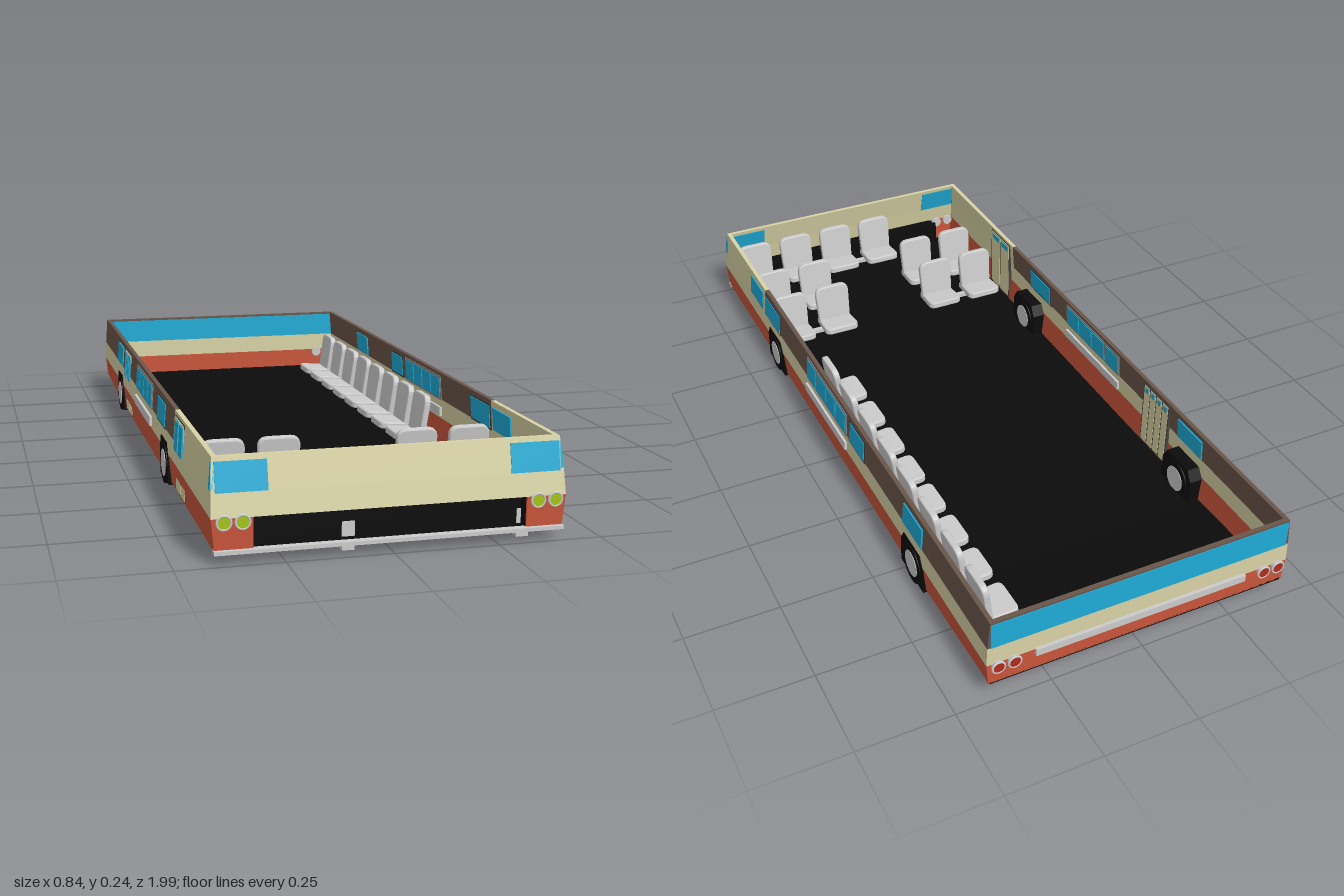
import * as THREE from 'three';

const CREAM = 0xd8d3a5, RED = 0xc9553a, BROWN = 0x6b564a, BLUE = 0x1fabd6;
const BLACK = 0x0b0b0b, GREY = 0xcccccc, DARK = 0x4a4340, LIME = 0xa5c41a, LAMP = 0xb02a20;
const TOP = 0.238, FLOOR = 0.03, BELT = 0.105, SILL = 0.16;

const mats = {};
const mat = (c) => (mats[c] ??= new THREE.MeshStandardMaterial({ color: c }));

// Piecewise linear body profiles over height
function lerpProfile(pts, y) {
  if (y <= pts[0][0]) return pts[0][1];
  for (let i = 1; i < pts.length; i++) {
    const [y0, v0] = pts[i - 1], [y1, v1] = pts[i];
    if (y <= y1) return v0 + ((v1 - v0) * (y - y0)) / (y1 - y0);
  }
  return pts[pts.length - 1][1];
}
const sideX = (y) => lerpProfile([[FLOOR, 0.408], [BELT, 0.415], [SILL, 0.413], [TOP, 0.407]], y);
const frontZ = (y) => lerpProfile([[FLOOR, 0.984], [BELT, 0.986], [SILL, 0.975], [TOP, 0.957]], y);
const REAR = -0.985;

export function createModel() {
  const bus = new THREE.Group();
  bus.name = 'bus';

  function add(name, geo, color, x = 0, y = 0, z = 0, parent = bus) {
    const m = new THREE.Mesh(geo, mat(color));
    m.name = name;
    m.position.set(x, y, z);
    parent.add(m);
    return m;
  }
  const box = (name, color, w, h, d, x, y, z, parent) =>
    add(name, new THREE.BoxGeometry(w, h, d), color, x, y, z, parent);

  function reshape(geo, rule) {
    const p = geo.attributes.position, v = new THREE.Vector3();
    for (let i = 0; i < p.count; i++) {
      rule(v.fromBufferAttribute(p, i));
      p.setXYZ(i, v.x, v.y, v.z);
    }
    geo.computeVertexNormals();
    return geo;
  }

  // Panel that follows the side wall; s = +1 or -1, t = thickness
  function sidePanel(name, color, s, z0, z1, y0, y1, t = 0.012) {
    const g = new THREE.BoxGeometry(t, y1 - y0, z1 - z0);
    g.translate(0, (y0 + y1) / 2, (z0 + z1) / 2);
    add(name, reshape(g, (v) => {
      v.x += s * (sideX(v.y) - 0.006);
      if (v.z > 0.95) v.z = Math.min(v.z, frontZ(v.y));
      if (v.z < -0.9 && v.y < 0.035) v.y += 0.015;
    }), color);
  }
  // Panel that follows the front (s = 1) or rear (s = -1) wall
  function endPanel(name, color, s, x0, x1, y0, y1, t = 0.012) {
    const g = new THREE.BoxGeometry(x1 - x0, y1 - y0, t);
    g.translate((x0 + x1) / 2, (y0 + y1) / 2, 0);
    add(name, reshape(g, (v) => {
      v.z += s > 0 ? frontZ(v.y) - 0.006 : REAR + 0.006;
      const lim = sideX(v.y);
      v.x = THREE.MathUtils.clamp(v.x, -lim, lim);
    }), color);
  }

  // Floor, tilted up behind the rear wheels
  box('floor', BLACK, 0.812, 0.006, 1.6, 0, FLOOR, 0.17);
  const tail = new THREE.BoxGeometry(0.812, 0.006, 0.355);
  tail.translate(0, FLOOR, -0.8075);
  add('rearFloor', reshape(tail, (v) => { if (v.z < -0.9) v.y += 0.015; }), BLACK);

  // Side walls in coloured bands
  for (const s of [1, -1]) {
    const split = s > 0 ? 0.57 : 0.48;
    sidePanel('lowerSide', RED, s, -0.63, 1, FLOOR, BELT);
    sidePanel('lowerRearSide', RED, s, REAR, -0.63, FLOOR, BELT);
    sidePanel('middleSide', CREAM, s, REAR, 1, BELT, SILL);
    sidePanel('upperSide', BROWN, s, REAR, split, SILL, TOP);
    sidePanel('upperFrontSide', CREAM, s, split, 1, SILL, TOP);
    sidePanel('cornerWindow', BLUE, s, 0.953, 1, 0.165, 0.226, 0.015);
  }

  // Front wall
  endPanel('frontMiddle', CREAM, 1, -1, 1, BELT, SILL);
  endPanel('frontUpper', CREAM, 1, -1, 1, SILL, TOP);
  box('grille', BLACK, 0.66, 0.08, 0.01, 0, 0.069, 0.945);
  box('bumper', GREY, 0.82, 0.009, 0.02, 0, 0.029, 0.985);
  for (const s of [1, -1]) {
    endPanel('frontCorner', RED, 1, s > 0 ? 0.32 : -1, s > 0 ? 1 : -0.32, FLOOR, BELT);
    endPanel('frontWindow', BLUE, 1, s > 0 ? 0.284 : -0.403, s > 0 ? 0.403 : -0.284, SILL, 0.227, 0.016);
    box('grilleCheek', BLACK, 0.004, 0.072, 0.04, s * 0.322, 0.069, 0.96);
  }
  box('grilleLip', BLACK, 0.64, 0.004, 0.04, 0, BELT, 0.96);

  // Rear wall
  endPanel('rearLower', RED, -1, -1, 1, 0.045, BELT);
  endPanel('rearMiddle', CREAM, -1, -1, 1, BELT, SILL);
  endPanel('rearUpper', BROWN, -1, -1, 1, SILL, TOP);
  endPanel('rearWindow', BLUE, -1, -0.405, 0.405, SILL, 0.232, 0.016);
  box('rearBar', GREY, 0.58, 0.02, 0.012, 0, 0.1, -0.988);

  // Paired lamps at each corner
  for (const [z, dir, lens] of [[0.984, 1, LIME], [REAR, -1, LAMP]])
    for (const x of [-0.387, -0.345, 0.345, 0.387]) {
      const lamp = new THREE.Group();
      lamp.name = dir > 0 ? 'headlamp' : 'tailLamp';
      lamp.position.set(x, 0.097, z);
      bus.add(lamp);
      const body = add('lampBody', new THREE.CylinderGeometry(0.016, 0.016, 0.026, 20), GREY, 0, 0, -dir * 0.006, lamp);
      const glass = add('lampLens', new THREE.CylinderGeometry(0.015, 0.015, 0.01, 20), lens, 0, 0, dir * 0.005, lamp);
      body.rotation.x = glass.rotation.x = Math.PI / 2;
      add('lampRing', new THREE.TorusGeometry(0.016, 0.003, 8, 24), GREY, 0, 0, dir * 0.008, lamp);
    }

  // Window with an optional frame and equal panes
  function sideWindow(s, z0, z1, panes = 1, frame = null) {
    if (frame !== null) sidePanel('windowFrame', frame, s, z0, z1, 0.158, 0.228, 0.016);
    const m = frame !== null ? 0.007 : 0, w = (z1 - z0 - m) / panes;
    for (let i = 0; i < panes; i++) {
      const a = z0 + m + i * w;
      sidePanel('windowPane', BLUE, s, a, a + w - m, 0.164, 0.222, 0.02);
    }
  }
  sideWindow(1, 0.585, 0.7);
  sideWindow(1, 0.425, 0.57, 1, DARK);
  sideWindow(1, -0.115, 0.195, 4, 0x8a8580);
  sideWindow(1, -0.25, -0.135, 1, DARK);
  sideWindow(1, -0.62, -0.505);
  sideWindow(-1, -0.62, -0.505);
  sideWindow(-1, -0.19, 0.12, 4, 0x8a8580);
  sideWindow(-1, 0.22, 0.36, 1, DARK);
  sidePanel('sideBar', GREY, 1, -0.115, 0.195, 0.113, 0.138, 0.026);
  sidePanel('sideBar', GREY, -1, -0.19, 0.12, 0.113, 0.138, 0.026);

  // Doors on the right side, each made of narrow glazed leaves
  function door(z0, z1, leaves) {
    sidePanel('doorFrame', DARK, -1, z0, z1, 0.036, 0.23, 0.015);
    const w = (z1 - z0 - 0.005) / leaves;
    for (let i = 0; i < leaves; i++) {
      const a = z0 + 0.005 + i * w, b = a + w - 0.005;
      sidePanel('doorLeaf', CREAM, -1, a, b, 0.04, 0.226, 0.018);
      sidePanel('doorGlass', BLUE, -1, a + 0.006, b - 0.006, 0.145, 0.22, 0.021);
    }
  }
  door(-0.46, -0.33, 4);
  door(0.5, 0.63, 2);

  // Wheels with tapered housings
  const arch = new THREE.Shape([[-0.07, 0.024], [0.07, 0.024], [0.068, 0.1], [0.05, 0.13], [-0.05, 0.13], [-0.068, 0.1]]
    .map(([x, y]) => new THREE.Vector2(x, y)));
  const archGeo = new THREE.ExtrudeGeometry(arch, { depth: 0.05, bevelEnabled: false });
  archGeo.translate(0, 0, -0.025).rotateY(Math.PI / 2);
  const tyreGeo = new THREE.CylinderGeometry(0.055, 0.055, 0.055, 28).rotateZ(Math.PI / 2);
  const hubGeo = new THREE.CylinderGeometry(0.036, 0.036, 0.058, 24).rotateZ(Math.PI / 2);
  for (const [s, z] of [[1, 0.48], [1, -0.56], [-1, 0.34], [-1, -0.56]]) {
    add('wheelHousing', archGeo, BLACK, s * 0.391, 0, z);
    add('tyre', tyreGeo, BLACK, s * 0.3905, 0.067, z);
    add('hub', hubGeo, GREY, s * 0.3905, 0.067, z);
  }

  // Seat parts: rounded cushion and back, facing -z
  function roundedPad(w, h, t, r) {
    const x = w / 2, s = new THREE.Shape();
    s.moveTo(-x * 0.94, 0);
    s.lineTo(x * 0.94, 0);
    s.lineTo(x, h - r);
    s.quadraticCurveTo(x, h, x - r, h);
    s.lineTo(r - x, h);
    s.quadraticCurveTo(-x, h, -x, h - r);
    const b = 0.004;
    return new THREE.ExtrudeGeometry(s, { depth: t - 2 * b, bevelThickness: b, bevelSize: b, bevelOffset: -b, bevelSegments: 2, curveSegments: 5 });
  }
  const backGeo = roundedPad(0.108, 0.118, 0.018, 0.026).rotateX(0.14);
  const cushionGeo = roundedPad(0.108, 0.095, 0.02, 0.02).rotateX(-Math.PI / 2 + 0.08);

  // Bench of joined seats at local x offsets, with posts through the floor
  function bench(x, z, turn, offsets, posts) {
    const g = new THREE.Group();
    g.name = 'bench';
    g.position.set(x, 0, z);
    g.rotation.y = turn;
    bus.add(g);
    for (const o of offsets) {
      add('seatBack', backGeo, GREY, o, 0.068, 0.022, g);
      add('seatCushion', cushionGeo, GREY, o, 0.06, 0.042, g);
    }
    const a = Math.min(...offsets), b = Math.max(...offsets);
    box('seatRail', GREY, b - a, 0.012, 0.014, (a + b) / 2, 0.058, 0, g);
    for (const o of posts) {
      box('seatPost', GREY, 0.03, 0.068, 0.024, o, 0.034, 0.041, g);
      box('seatArm', GREY, 0.03, 0.012, 0.06, o, 0.06, 0.02, g);
    }
  }
  const four = [-0.21, -0.07, 0.07, 0.21];
  bench(0.3, -0.57, Math.PI / 2, four, [-0.21, 0.21]);
  bench(0.3, -0.015, Math.PI / 2, four, [-0.21, 0.21]);
  bench(0.115, 0.9, 0, four, [-0.21, 0.21]);
  for (const z of [0.555, 0.713]) {
    bench(-0.24, z, 0, [-0.07, 0.07], [-0.066]);
    bench(0.257, z, 0, [-0.07, 0.07], [-0.066]);
  }

  return bus;
}
